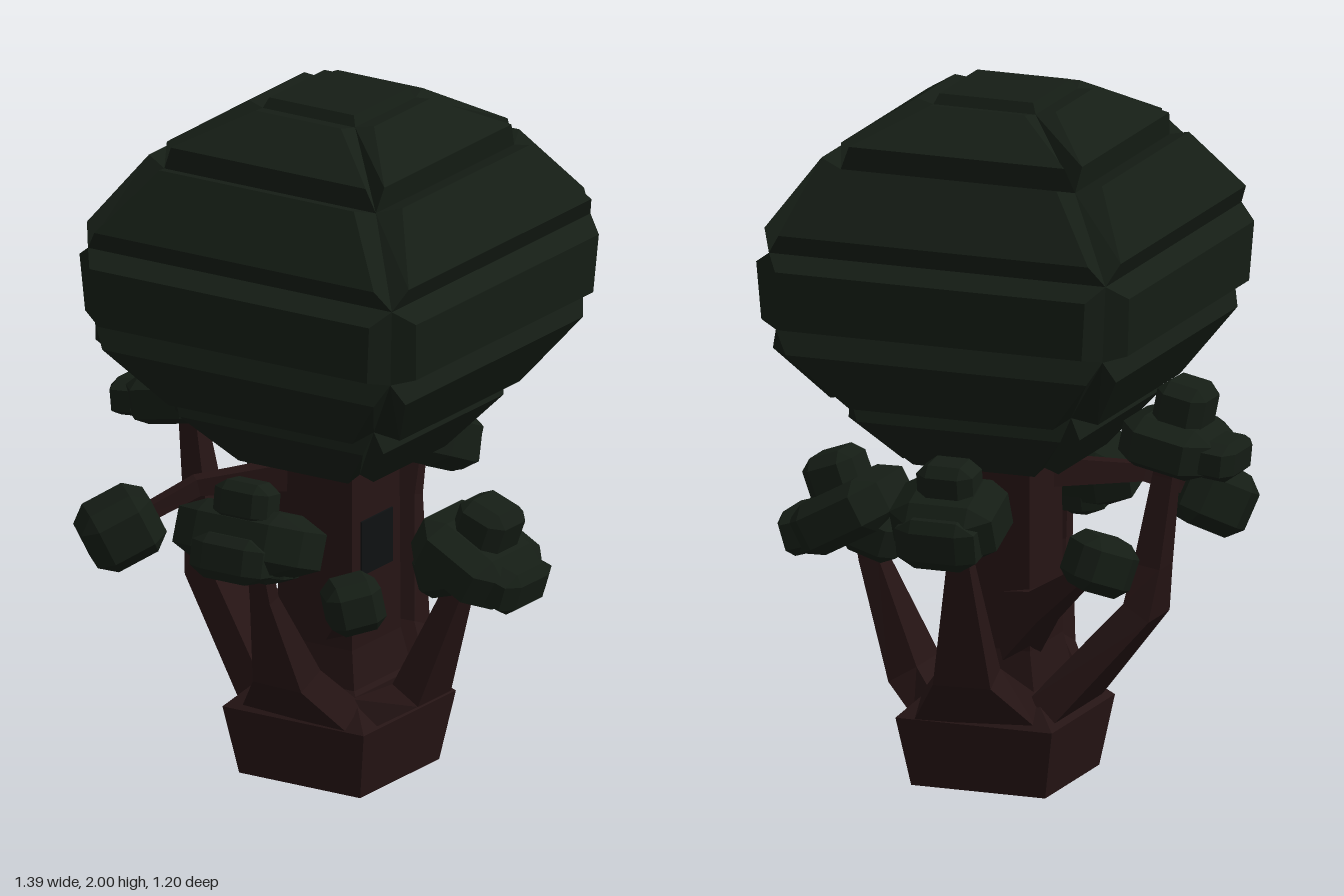
import * as THREE from 'three';
import { ConvexGeometry } from 'three/addons/geometries/ConvexGeometry.js';

const bark = new THREE.MeshStandardMaterial({ color: 0x251414, flatShading: true });
const leaf = new THREE.MeshStandardMaterial({ color: 0x151d15, flatShading: true });
const glass = new THREE.MeshStandardMaterial({ color: 0x0e1112, flatShading: true });

const CX = 0.028; // trunk and crown axis

// Flat-shaded geometry from a list of four-cornered faces
function fromQuads(quads) {
  const pos = [];
  for (const [a, b, c, d] of quads) for (const p of [a, b, c, a, c, d]) pos.push(...p);
  const g = new THREE.BufferGeometry();
  g.setAttribute('position', new THREE.Float32BufferAttribute(pos, 3));
  g.computeVertexNormals();
  return g;
}

function add(group, name, geometry, material) {
  const m = new THREE.Mesh(geometry, material);
  m.name = name;
  group.add(m);
  return m;
}

// Raised face: outer quad joined to its base quad by four sloping sides
function bump(base, outer) {
  const quads = [outer];
  for (let i = 0; i < 4; i++) {
    const j = (i + 1) % 4;
    quads.push([base[i], base[j], outer[j], outer[i]]);
  }
  return quads;
}

// Joins four-cornered rings, closing both ends
function loft(rings) {
  const quads = [];
  for (let k = 0; k < rings.length - 1; k++) {
    for (let i = 0; i < 4; i++) {
      const j = (i + 1) % 4;
      quads.push([rings[k][i], rings[k][j], rings[k + 1][j], rings[k + 1][i]]);
    }
  }
  quads.push([...rings[0]].reverse(), rings[rings.length - 1]);
  return fromQuads(quads);
}

const squareRing = (r, y) => [[-r, y, r], [r, y, r], [r, y, -r], [-r, y, -r]];

// Square crown whose every panel is raised, leaving grooves between them
function crownGeometry() {
  // groove lines: half width, height
  const grooves = [[0.155, 1.97], [0.355, 1.81], [0.51, 1.59], [0.495, 1.365], [0.335, 1.15], [0.2, 0.96]];
  // raised panels: top half width, top height, bottom half width, bottom height
  const panels = [
    [0.21, 1.98, 0.365, 1.88], [0.425, 1.83, 0.54, 1.65], [0.565, 1.55, 0.555, 1.38],
    [0.52, 1.3, 0.405, 1.13], [0.35, 1.08, 0.235, 0.94],
  ];
  const face = (t0, y0, r0, t1, y1, r1) => [[-t0, y0, r0], [-t1, y1, r1], [t1, y1, r1], [t0, y0, r0]];
  const turn = ([x, y, z], k) => {
    for (let i = 0; i < k; i++) [x, z] = [z, -x];
    return [x, y, z];
  };
  const quads = [];
  panels.forEach(([r0, y0, r1, y1], i) => {
    const [g0, h0] = grooves[i], [g1, h1] = grooves[i + 1];
    const base = face(g0, h0, g0, g1, h1, g1);
    const outer = face(g0 * 0.92, y0, r0, g1 * 0.92, y1, r1);
    for (let k = 0; k < 4; k++) {
      quads.push(...bump(base.map(p => turn(p, k)), outer.map(p => turn(p, k))));
    }
  });
  quads.push(...bump(squareRing(0.155, 1.97), squareRing(0.142, 2.0)));
  quads.push(squareRing(0.2, 0.96).reverse());
  return fromQuads(quads);
}

// Four-sided limb along points [x, y, z, half width, half depth]
function limbGeometry(points) {
  const at = i => new THREE.Vector3(...points[Math.min(Math.max(i, 0), points.length - 1)].slice(0, 3));
  const first = at(0), last = at(points.length - 1);
  const side = last.clone().sub(first).cross(new THREE.Vector3(0, 1, 0)).normalize();
  return loft(points.map((p, i) => {
    const dir = at(i + 1).sub(at(i - 1)).normalize();
    const depth = dir.cross(side).normalize();
    return [[-1, -1], [1, -1], [1, 1], [-1, 1]].map(([u, v]) =>
      at(i).addScaledVector(side, u * p[3]).addScaledVector(depth, v * p[4]).toArray());
  }));
}

// Block with six raised faces
const blobPoints = [];
for (const a of [-1, 1]) for (const b of [-0.57, 0.57]) for (const c of [-0.57, 0.57]) {
  blobPoints.push(new THREE.Vector3(a, b, c), new THREE.Vector3(b, a, c), new THREE.Vector3(b, c, a));
}
const blobGeometry = new ConvexGeometry(blobPoints);

function blob(group, position, size, tilt, yaw = 0) {
  const m = add(group, 'leafClump', blobGeometry, leaf);
  m.position.set(...position);
  m.scale.set(...size);
  m.rotation.set(0, yaw, tilt);
}

// Big bough drawn growing along +x, then turned to its side of the trunk
function bough(name, yaw, path, blobs) {
  const g = new THREE.Group();
  g.name = name;
  add(g, 'boughWood', limbGeometry(path), bark);
  for (const b of blobs) blob(g, ...b);
  g.rotation.y = yaw;
  return g;
}

export function createModel() {
  const tree = new THREE.Group();
  tree.name = 'tree';

  // Flared base and square trunk
  const rings = [[0.203, 0], [0.237, 0.2], [0.145, 0.29], [0.125, 0.4], [0.122, 0.98]];
  add(tree, 'trunk', loft(rings.map(([r, y]) => squareRing(r, y))), bark).position.x = CX;

  // Crown
  add(tree, 'crown', crownGeometry(), leaf).position.x = CX;

  // Window on the left side of the trunk
  const pane = add(tree, 'window', new THREE.BoxGeometry(0.012, 0.16, 0.16), glass);
  pane.position.set(0.151, 0.69, 0);

  // Four boughs, wide where they leave the base, each with a cluster of leaf clumps
  tree.add(bough('leftBough', 0,
    [[0.21, 0.235, 0, 0.18, 0.05], [0.305, 0.285, 0, 0.085, 0.05], [0.43, 0.6, 0, 0.035, 0.03], [0.46, 0.72, 0, 0.025, 0.025]],
    [
      [[0.5, 0.72, 0.015], [0.155, 0.08, 0.17], -0.5],
      [[0.42, 0.67, 0.02], [0.09, 0.07, 0.1], 0.3],
      [[0.63, 0.66, 0.015], [0.058, 0.065, 0.12], -0.3],
      [[0.54, 0.82, 0.015], [0.08, 0.07, 0.09], -0.35],
    ]));
  tree.add(bough('rightBough', Math.PI,
    [[0.155, 0.245, 0, 0.18, 0.05], [0.4, 0.53, 0, 0.08, 0.045], [0.42, 0.66, 0, 0.05, 0.04], [0.46, 0.92, 0, 0.03, 0.03], [0.47, 1, 0, 0.025, 0.025]],
    [
      [[0.49, 1.02, 0], [0.135, 0.075, 0.155], -0.2],
      [[0.635, 0.99, 0], [0.058, 0.055, 0.11], -0.1],
      [[0.52, 1.13, 0], [0.075, 0.07, 0.09], -0.2],
    ]));
  tree.add(bough('frontBough', -Math.PI / 2,
    [[0.19, 0.235, -CX, 0.18, 0.05], [0.27, 0.345, -CX, 0.085, 0.05], [0.365, 0.6, -0.015, 0.035, 0.022], [0.4, 0.75, -0.015, 0.025, 0.02]],
    [
      [[0.44, 0.8, -0.015], [0.11, 0.09, 0.21], 0.35],
      [[0.535, 0.77, -0.02], [0.058, 0.065, 0.12], 0.2],
      [[0.47, 0.92, -0.025], [0.055, 0.06, 0.09], 0.15],
      [[0.42, 0.73, -0.015], [0.07, 0.055, 0.13], 0.2],
    ]));
  tree.add(bough('backBough', Math.PI / 2,
    [[0.19, 0.235, CX, 0.18, 0.05], [0.29, 0.355, CX, 0.085, 0.05], [0.38, 0.7, 0.01, 0.035, 0.025], [0.41, 0.8, 0.01, 0.03, 0.02]],
    [
      [[0.45, 0.86, 0.01], [0.12, 0.09, 0.155], -0.4],
      [[0.54, 0.81, 0.01], [0.055, 0.075, 0.12], -0.2],
      [[0.46, 0.96, 0.01], [0.065, 0.065, 0.085], -0.15],
    ]));

  // Thin branches growing from the trunk, each ending in one clump
  const twigs = [
    ['frontRightTwig', [[-0.03, 0.88, 0.05, 0.035, 0.045], [-0.28, 0.85, 0.26, 0.025, 0.025], [-0.42, 0.75, 0.44, 0.02, 0.02]], [0.11, 0.095, 0.1], 0.45],
    ['backRightTwig', [[-0.02, 0.46, -0.06, 0.06, 0.1], [-0.17, 0.56, -0.2, 0.035, 0.045], [-0.4, 0.74, -0.35, 0.015, 0.015]], [0.09, 0.08, 0.09], 0.35],
    ['frontLeftTwig', [[0.08, 0.46, 0.08, 0.04, 0.05], [0.2, 0.55, 0.23, 0.03, 0.03], [0.33, 0.65, 0.39, 0.018, 0.018]], [0.08, 0.075, 0.08], 0.2],
  ];
  for (const [name, path, size, tilt] of twigs) {
    const g = new THREE.Group();
    g.name = name;
    add(g, 'twigWood', limbGeometry(path), bark);
    blob(g, path[path.length - 1].slice(0, 3), size, tilt, Math.PI / 4);
    tree.add(g);
  }
  return tree;
}
